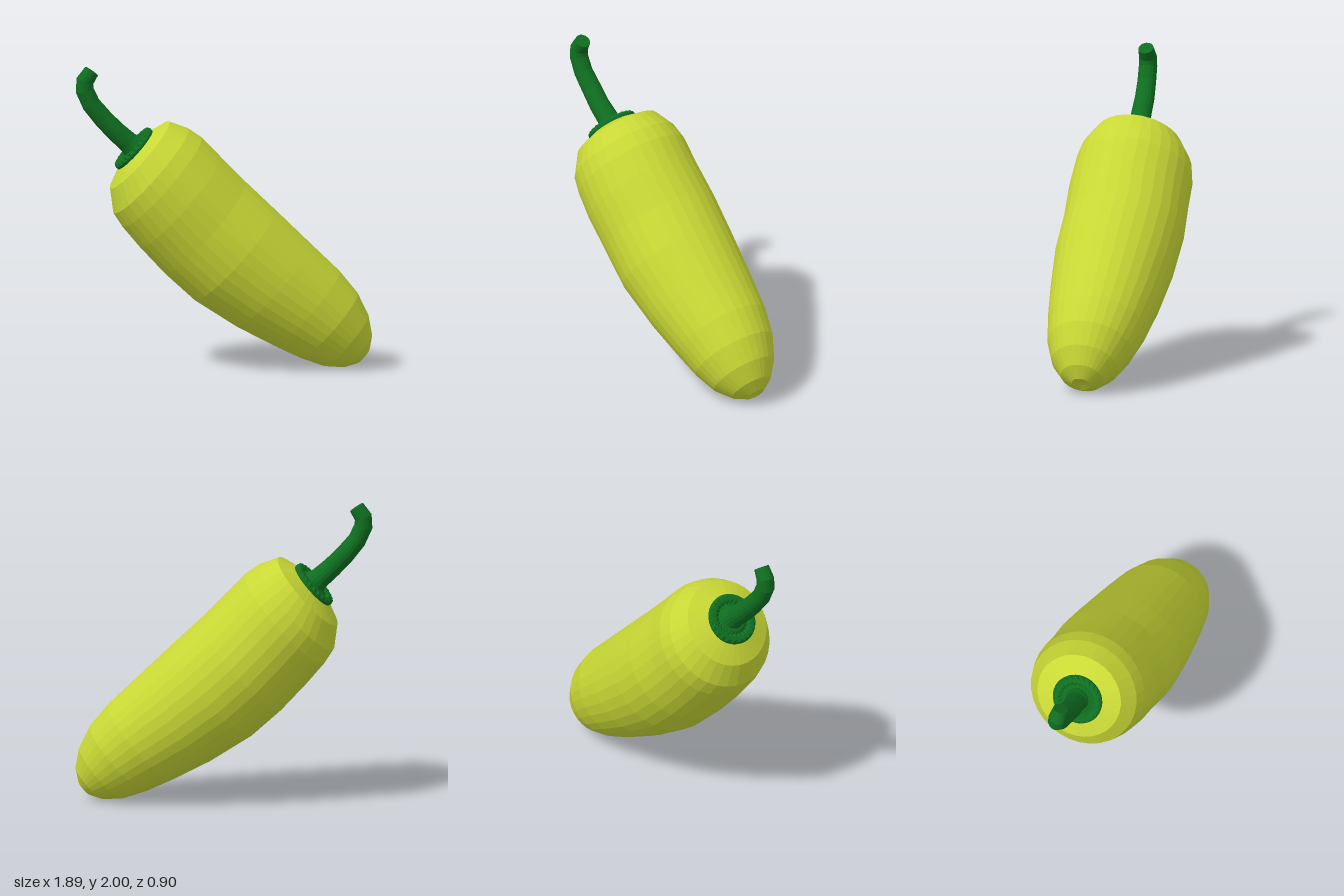
import * as THREE from 'three';

const SKIN = new THREE.MeshStandardMaterial({ color: 0xc8d835, flatShading: true });
const GREEN = new THREE.MeshStandardMaterial({ color: 0x0f6e20, flatShading: true });
const AXIS = new THREE.Vector3(0.73, -0.67, -0.16).normalize();

// Closed skin over round sections [x, y, z, radius]; a fixed axis keeps the rings parallel
function loft(sections, sides, axis) {
  const positions = [], index = [];
  const centres = sections.map(([x, y, z]) => new THREE.Vector3(x, y, z));
  const last = sections.length - 1;
  centres.forEach((c, i) => {
    const t = axis ? axis.clone()
      : centres[Math.min(i + 1, last)].clone().sub(centres[Math.max(i - 1, 0)]).normalize();
    const u = new THREE.Vector3(0, 0, 1).cross(t).normalize();
    const v = t.clone().cross(u);
    for (let j = 0; j < sides; j++) {
      const a = (j / sides) * Math.PI * 2;
      const p = c.clone()
        .addScaledVector(u, Math.cos(a) * sections[i][3])
        .addScaledVector(v, Math.sin(a) * sections[i][3]);
      positions.push(p.x, p.y, p.z);
    }
  });
  for (let i = 0; i < last; i++) {
    for (let j = 0; j < sides; j++) {
      const a = i * sides + j, b = i * sides + (j + 1) % sides;
      index.push(a, b, a + sides, b, b + sides, a + sides);
    }
  }
  // End caps
  const start = positions.length / 3;
  for (const c of [centres[0], centres[last]]) positions.push(c.x, c.y, c.z);
  for (let j = 0; j < sides; j++) {
    const k = (j + 1) % sides;
    index.push(start, k, j, start + 1, last * sides + j, last * sides + k);
  }
  const geometry = new THREE.BufferGeometry();
  geometry.setAttribute('position', new THREE.Float32BufferAttribute(positions, 3));
  geometry.setIndex(index);
  geometry.computeVertexNormals();
  return geometry;
}

function addPart(group, name, geometry, material) {
  const mesh = new THREE.Mesh(geometry, material);
  mesh.name = name;
  group.add(mesh);
  return mesh;
}

export function createModel() {
  const group = new THREE.Group();
  group.name = 'pepper';

  // Plump body, shoulder to blunt tip
  addPart(group, 'body', loft([
    [-0.57, 1.44, 0.115, 0.16],
    [-0.54, 1.405, 0.10, 0.29],
    [-0.47, 1.30, 0.08, 0.367],
    [-0.40, 1.225, 0.062, 0.388],
    [-0.285, 1.095, 0.04, 0.394],
    [-0.125, 0.92, -0.005, 0.397],
    [0.065, 0.74, -0.037, 0.394],
    [0.31, 0.54, -0.09, 0.362],
    [0.52, 0.385, -0.135, 0.324],
    [0.665, 0.27, -0.16, 0.282],
    [0.775, 0.17, -0.178, 0.22],
    [0.85, 0.10, -0.195, 0.14],
    [0.885, 0.065, -0.205, 0.06],
    [0.88, 0.07, -0.206, 0.02],
  ], 32, AXIS), SKIN);

  // Thin green calyx with a raised, scalloped rim
  const profile = [[0, -0.02], [0.165, -0.02], [0.17, 0.005], [0.155, 0.025],
    [0.125, 0.025], [0.105, 0.008], [0.085, 0.02], [0, 0.03]];
  const calyxGeometry = new THREE.LatheGeometry(profile.map(([r, y]) => new THREE.Vector2(r, y)), 48);
  const pos = calyxGeometry.attributes.position;
  for (let i = 0; i < pos.count; i++) {
    const x = pos.getX(i), z = pos.getZ(i), r = Math.hypot(x, z);
    if (r > 0.1 && r < 0.16) {
      const s = 1 + 0.05 * Math.cos(Math.atan2(z, x) * 24);
      pos.setX(i, x * s);
      pos.setZ(i, z * s);
    }
  }
  calyxGeometry.computeVertexNormals();
  const calyx = addPart(group, 'calyx', calyxGeometry, GREEN);
  calyx.position.set(-0.575, 1.447, 0.117);
  calyx.quaternion.setFromUnitVectors(new THREE.Vector3(0, 1, 0), AXIS.clone().negate());

  // Curved stem hooking over at its cut end
  addPart(group, 'stem', loft([
    [-0.57, 1.455, 0.117, 0.085],
    [-0.61, 1.49, 0.13, 0.07],
    [-0.69, 1.565, 0.155, 0.066],
    [-0.77, 1.65, 0.172, 0.064],
    [-0.845, 1.745, 0.195, 0.061],
    [-0.887, 1.84, 0.207, 0.06],
    [-0.885, 1.90, 0.207, 0.058],
    [-0.842, 1.965, 0.2, 0.05],
  ], 18), GREEN);

  return group;
}
